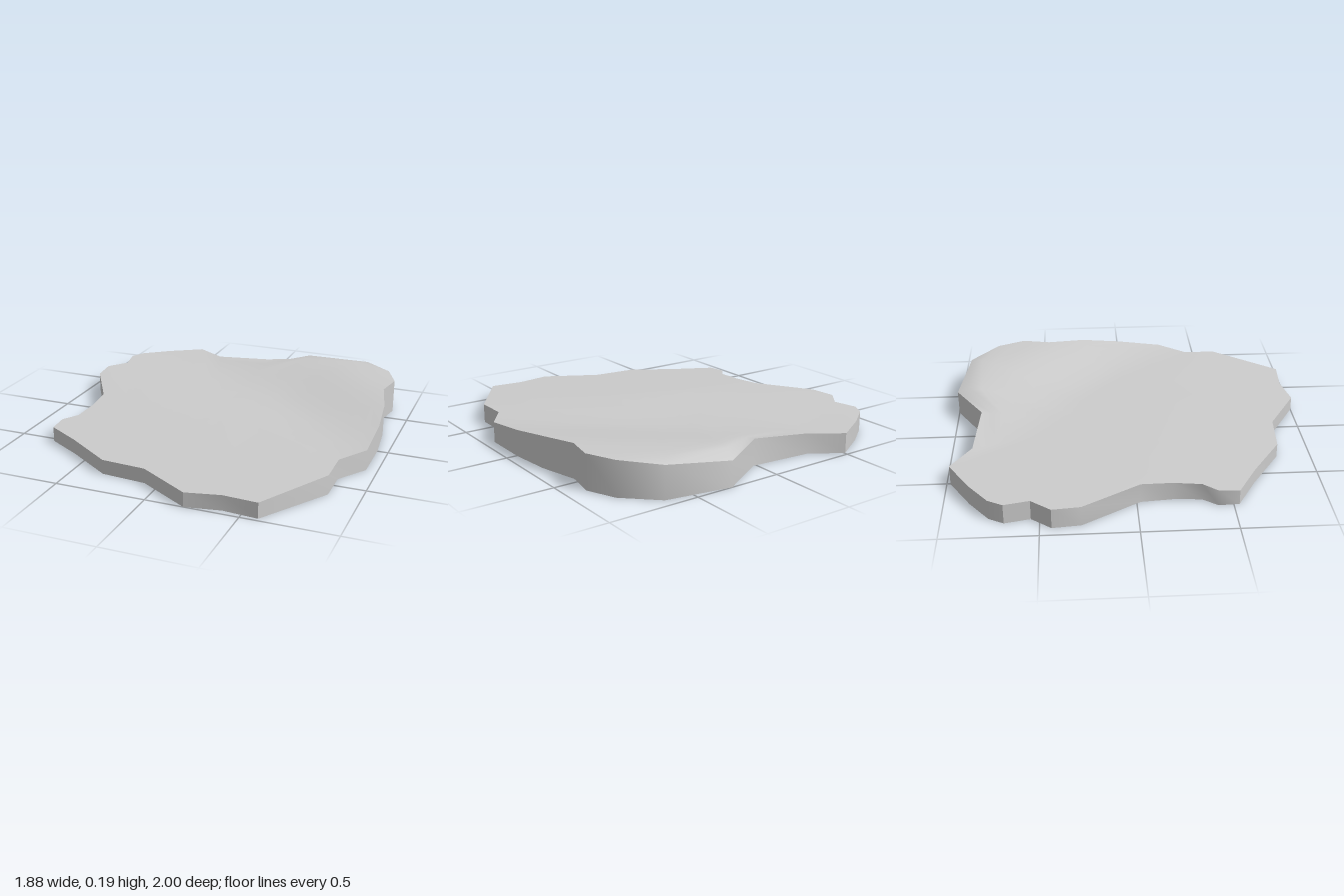
import * as THREE from 'three';
import { toCreasedNormals } from 'three/addons/utils/BufferGeometryUtils.js';

// Outline of the slab seen from above, as [x, z]
const outline = [
  [0.29, -1], [0.65, -0.94], [0.82, -0.78], [0.89, -0.62], [0.86, -0.46],
  [0.915, -0.24], [0.94, -0.01], [0.94, 0.26], [0.83, 0.42], [0.83, 0.61],
  [0.59, 0.98], [0.4, 0.965], [0.21, 1], [-0.08, 0.83], [-0.33, 0.81],
  [-0.59, 0.64], [-0.785, 0.53], [-0.79, 0.42], [-0.73, 0.34], [-0.72, 0.19],
  [-0.735, 0.02], [-0.925, -0.29], [-0.94, -0.44], [-0.855, -0.545], [-0.885, -0.68],
  [-0.84, -0.76], [-0.7, -0.865], [-0.505, -0.98], [-0.33, -0.87], [0.015, -0.84],
];

const clamp01 = (t) => THREE.MathUtils.clamp(t, 0, 1);

// Height of the ground: a low plain dipping to the front, rising to a hill at the back
function heightAt(x, z) {
  const plain = 0.11 - 0.03 * clamp01((z - 0.35 * x - 0.25) / 0.65);
  const hill = 0.082 * THREE.MathUtils.smoothstep(x - 1.12 * z, 0.5, 1.45);
  const backEdge = clamp01((-z - 0.88) / 0.12);
  return plain + hill * (1 - 0.63 * backEdge * backEdge);
}

function buildGeometry(positions, indices) {
  const geometry = new THREE.BufferGeometry();
  geometry.setAttribute('position', new THREE.Float32BufferAttribute(positions, 3));
  geometry.setIndex(indices);
  geometry.computeVertexNormals();
  return geometry;
}

// Rolling upper surface: rings of the outline shrinking to the middle
function topGeometry(rings = 14) {
  const n = outline.length;
  const positions = [0, heightAt(0, 0), 0];
  const indices = [];
  for (let r = 1; r <= rings; r++) {
    for (const [px, pz] of outline) {
      const x = (px * r) / rings, z = (pz * r) / rings;
      positions.push(x, heightAt(x, z), z);
    }
  }
  for (let i = 0; i < n; i++) {
    const j = (i + 1) % n;
    indices.push(0, 1 + j, 1 + i);
    for (let r = 1; r < rings; r++) {
      const inner = 1 + (r - 1) * n, outer = inner + n;
      indices.push(inner + i, inner + j, outer + j, inner + i, outer + j, outer + i);
    }
  }
  return buildGeometry(positions, indices);
}

// Upright rim from the base to the edge of the upper surface
function rimGeometry() {
  const n = outline.length;
  const positions = [];
  const indices = [];
  outline.forEach(([x, z], i) => {
    const a = 2 * i, b = 2 * ((i + 1) % n);
    positions.push(x, 0, z, x, heightAt(x, z), z);
    indices.push(a, a + 1, b + 1, a, b + 1, b);
  });
  return toCreasedNormals(buildGeometry(positions, indices), THREE.MathUtils.degToRad(40));
}

// Flat underside
function baseGeometry() {
  const n = outline.length;
  const positions = [0, 0, 0];
  const indices = [];
  outline.forEach(([x, z], i) => {
    positions.push(x, 0, z);
    indices.push(0, 1 + i, 1 + ((i + 1) % n));
  });
  return buildGeometry(positions, indices);
}

export function createModel() {
  const group = new THREE.Group();
  group.name = 'groundSlab';
  const material = new THREE.MeshStandardMaterial({ color: 0xcccccc });
  const parts = { topSurface: topGeometry(), rim: rimGeometry(), base: baseGeometry() };
  for (const [name, geometry] of Object.entries(parts)) {
    const mesh = new THREE.Mesh(geometry, material);
    mesh.name = name;
    group.add(mesh);
  }
  return group;
}
